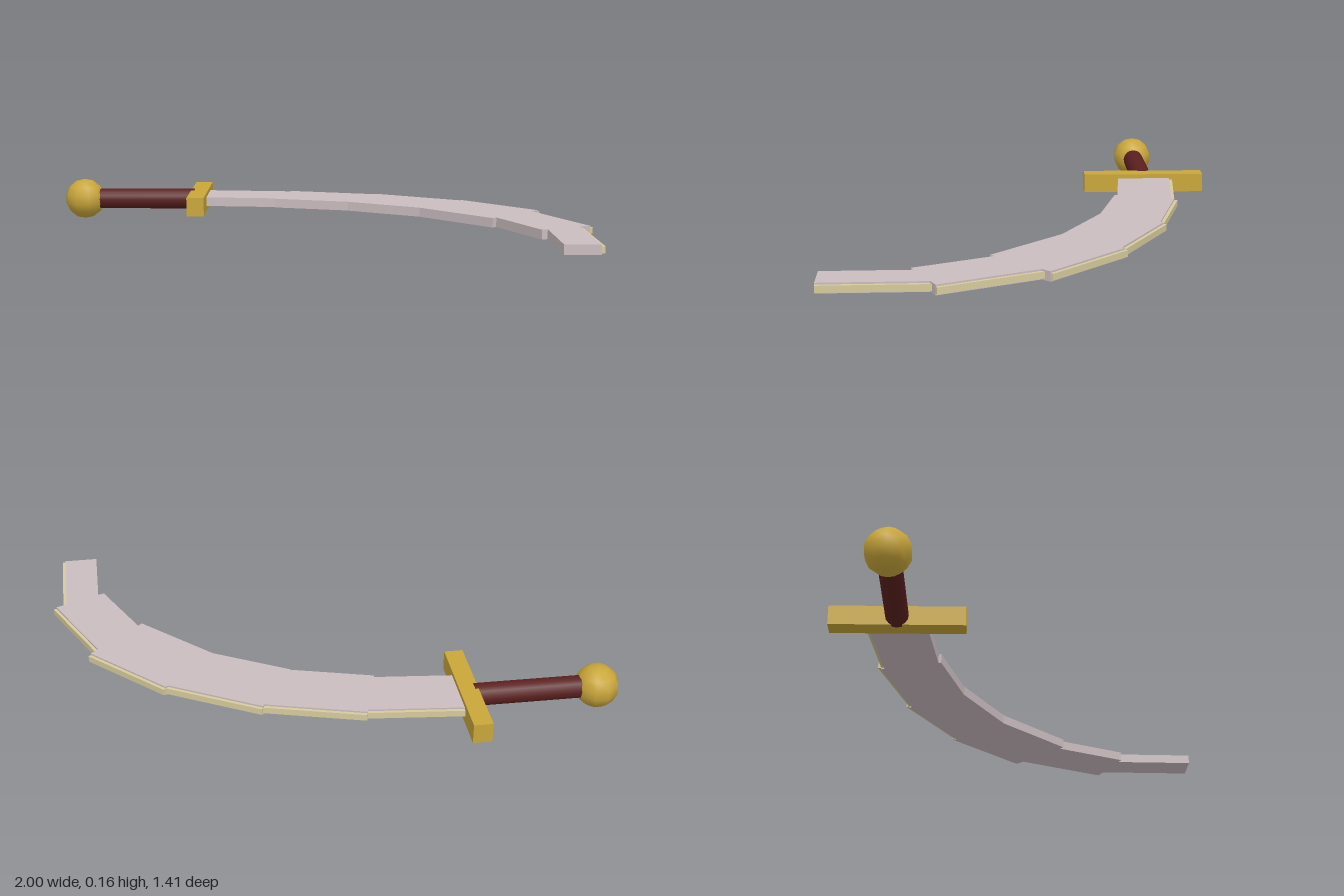
import * as THREE from 'three';

const Y = 0.08;        // mid-plane height of the sword
const GRIP_Z = -0.465; // line of the handle

function material(name, color) {
  const m = new THREE.MeshStandardMaterial({ color });
  m.name = name;
  return m;
}

function part(name, geometry, mat, x, y, z) {
  const mesh = new THREE.Mesh(geometry, mat);
  mesh.name = name;
  mesh.position.set(x, y, z);
  return mesh;
}

export function createModel() {
  const gold = material('gold', 0xc9a63a);
  const leather = material('dark red leather', 0x5c2020);
  const steel = material('pale steel', 0xcabcbf);
  const edgeMat = material('pale gold edge', 0xd6ca9c);

  const sword = new THREE.Group();
  sword.name = 'curvedSword';

  // Handle: pommel, grip and crossguard
  sword.add(part('pommel', new THREE.SphereGeometry(0.08, 10, 7), gold, -0.922, Y, GRIP_Z));
  const grip = new THREE.CylinderGeometry(0.041, 0.041, 0.425, 16).rotateZ(Math.PI / 2);
  sword.add(part('grip', grip, leather, -0.6875, Y, GRIP_Z));
  sword.add(part('crossguard', new THREE.BoxGeometry(0.068, 0.072, 0.477), gold, -0.453, Y, -0.464));

  // Blade: overlapping slabs; each row is outer start corner x, z, heading in degrees, length, width
  const segments = [
    [-0.45, -0.583, 5.5, 0.37, 0.218],
    [-0.08, -0.56, 15.2, 0.375, 0.244],
    [0.275, -0.475, 29, 0.375, 0.265],
    [0.605, -0.305, 45, 0.37, 0.283],
    [0.84, -0.02, 64.8, 0.375, 0.213],
    [0.963, 0.33, 88.8, 0.37, 0.136],
  ];
  const lip = 0.012; // how far the cutting edge stands out
  const blade = new THREE.Group();
  blade.name = 'blade';
  segments.forEach(([x, z, heading, length, width], i) => {
    const segment = new THREE.Group();
    segment.name = `bladeSegment${i + 1}`;
    segment.position.set(x, Y + 0.002, z);
    segment.rotation.y = -THREE.MathUtils.degToRad(heading);
    const body = new THREE.BoxGeometry(length, 0.035, width - lip);
    segment.add(part('bladeBody', body, steel, length / 2, 0, (width + lip) / 2));
    const edge = new THREE.BoxGeometry(length, 0.023, lip);
    segment.add(part('cuttingEdge', edge, edgeMat, length / 2, 0, lip / 2));
    blade.add(segment);
  });
  sword.add(blade);

  return sword;
}
